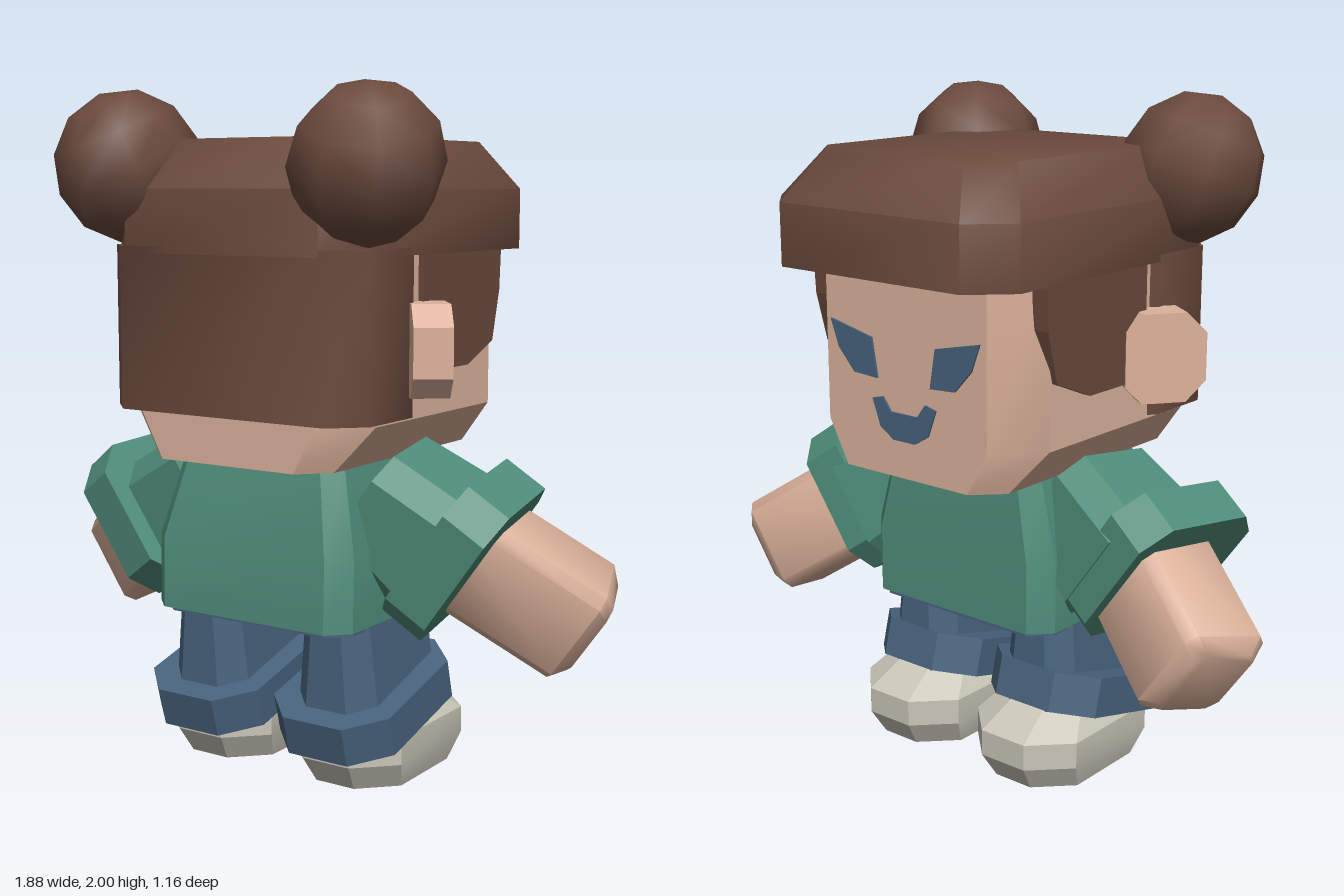
import * as THREE from 'three';
import { toCreasedNormals } from 'three/addons/utils/BufferGeometryUtils.js';

const mat = (name, color) => Object.assign(new THREE.MeshStandardMaterial({ color }), { name });

// Stack of chamfered rectangles: each ring is [y, halfX, zMax, zMin, chamfer]
function loft(rings, crease = 0.4) {
  const loops = rings.map(([y, h, b, f, c]) => [
    [h, b - c], [h, f + c], [h - c, f], [c - h, f], [-h, f + c], [-h, b - c], [c - h, b], [h - c, b],
  ].map(([x, z]) => [x, y, z]));
  const out = [];
  const tri = (...p) => p.forEach((q) => out.push(...q));
  for (let r = 0; r + 1 < loops.length; r++) {
    for (let i = 0; i < 8; i++) {
      const j = (i + 1) % 8, lo = loops[r], up = loops[r + 1];
      tri(lo[i], lo[j], up[j]);
      tri(lo[i], up[j], up[i]);
    }
  }
  const bottom = loops[0], top = loops[loops.length - 1];
  for (let i = 1; i < 7; i++) {
    tri(top[0], top[i], top[i + 1]);
    tri(bottom[0], bottom[i + 1], bottom[i]);
  }
  const g = new THREE.BufferGeometry();
  g.setAttribute('position', new THREE.Float32BufferAttribute(out, 3));
  return toCreasedNormals(g, crease);
}

function plate(points, depth) {
  const shape = new THREE.Shape(points.map(([x, y]) => new THREE.Vector2(x, y)));
  return new THREE.ExtrudeGeometry(shape, { depth, bevelEnabled: false });
}

// Mirror across x = 0, keeping faces outward
function mirrored(source) {
  const g = source.index ? source.toNonIndexed() : source.clone();
  for (const key of ['position', 'normal']) {
    const a = g.attributes[key];
    for (let i = 0; i < a.count; i += 3) {
      const p = [0, 2, 1].map((k) => [-a.getX(i + k), a.getY(i + k), a.getZ(i + k)]);
      p.forEach((v, k) => a.setXYZ(i + k, ...v));
    }
  }
  return g;
}

// Place a loft so that its y axis runs along dir, starting at origin
function along(g, origin, dir) {
  const d = new THREE.Vector3(...dir).normalize();
  const u = new THREE.Vector3(-d.y, d.x, 0).normalize();
  const m = new THREE.Matrix4().makeBasis(u, d, u.clone().cross(d));
  return g.applyMatrix4(m.setPosition(...origin));
}

export function createModel() {
  const model = new THREE.Group();
  const hair = mat('brown hair', 0x6b4a3d);
  const skin = mat('skin', 0xdcb29b);
  const green = mat('green shirt', 0x4f8c79);
  const denim = mat('blue denim', 0x48637d);
  const shoe = mat('pale grey shoe', 0xc9c5b8);

  const add = (name, geometry, material) => {
    const mesh = new THREE.Mesh(geometry, material);
    mesh.name = name;
    model.add(mesh);
  };
  const pair = (name, geometry, material) => {
    add('left ' + name, geometry, material);
    add('right ' + name, mirrored(geometry), material);
  };

  // Head and face, looking toward -z
  add('head', loft([
    [0.95, 0.31, 0.44, -0.44, 0.08],
    [1.08, 0.42, 0.44, -0.44, 0.12],
    [1.6, 0.42, 0.44, -0.44, 0.12],
  ], 0.6), skin);
  const eye = plate([[0.28, 1.38], [0.25, 1.3], [0.19, 1.235], [0.1, 1.23], [0.12, 1.345]], 0.008);
  pair('eye', eye.translate(0, 0, -0.446), denim);
  const mouth = plate([
    [-0.12, 1.17], [-0.09, 1.09], [-0.04, 1.06], [0.04, 1.06], [0.09, 1.09],
    [0.12, 1.17], [0.08, 1.18], [0.05, 1.14], [-0.05, 1.14], [-0.08, 1.18],
  ], 0.008);
  add('mouth', mouth.translate(0, 0, -0.446), denim);

  // Ears: bevelled slabs flaring outward
  const ear = plate([
    [0, -0.08], [0.05, -0.13], [0.18, -0.13], [0.24, -0.07],
    [0.24, 0.07], [0.18, 0.13], [0.05, 0.13], [0, 0.08],
  ], 0.11);
  pair('ear', ear.rotateY(-0.918).translate(0.44, 1.28, 0), skin);

  // Hair: cap with fringe, back and side locks
  add('hair cap', loft([
    [1.54, 0.44, 0.47, -0.58, 0.11],
    [1.72, 0.44, 0.47, -0.58, 0.11],
    [1.86, 0.35, 0.36, -0.47, 0.1],
  ], 0.9), hair);
  add('back hair', loft([
    [1.09, 0.44, 0.47, 0.07, 0.09],
    [1.56, 0.44, 0.47, 0.07, 0.09],
  ], 0.9), hair);
  const lock = plate([
    [-0.1, 1.21], [0.16, 1.21], [0.31, 1.27], [0.35, 1.42], [0.36, 1.6], [-0.1, 1.6],
  ], 0.05);
  pair('side lock', lock.rotateY(Math.PI / 2).translate(0.387, 0, 0), hair);
  const bun = new THREE.SphereGeometry(0.222, 8, 6);
  bun.scale(0.95, 1, 1.02).rotateX(0.3).rotateZ(-0.25).translate(0.41, 1.785, 0.355);
  pair('hair bun', bun, hair);

  // Shirt
  add('shirt', loft([
    [0.49, 0.345, 0.375, -0.25, 0.06],
    [0.7, 0.345, 0.37, -0.25, 0.06],
    [0.955, 0.28, 0.31, -0.23, 0.05],
  ]), green);
  const neck = new THREE.Shape([[-0.11, 0.955], [0, 0.82], [0.11, 0.955]].map((p) => new THREE.Vector2(...p)));
  const neckline = new THREE.ExtrudeGeometry(neck, { depth: 0.008, bevelEnabled: false });
  neckline.translate(0, -0.955, 0).rotateX(-0.078).translate(0, 0.955, -0.236);
  add('neckline', neckline, skin);
  add('waistband', loft([
    [0.475, 0.33, 0.35, -0.235, 0.06],
    [0.5, 0.33, 0.35, -0.235, 0.06],
  ]), denim);

  // Sleeves with wide cuffs, and bare arms reaching down and forward
  const sleeveDir = [0.8, -0.57, -0.17];
  pair('sleeve', along(loft([
    [0, 0.17, 0.19, -0.19, 0.07],
    [0.28, 0.2, 0.21, -0.21, 0.07],
  ]), [0.27, 0.85, 0.05], sleeveDir), green);
  pair('sleeve cuff', along(loft([
    [0, 0.235, 0.235, -0.235, 0.08],
    [0.14, 0.235, 0.235, -0.235, 0.08],
  ]), [0.48, 0.745, 0.04], sleeveDir), green);
  pair('arm', along(loft([
    [0, 0.155, 0.14, -0.14, 0.03],
    [0.46, 0.155, 0.14, -0.14, 0.03],
    [0.5, 0.12, 0.105, -0.105, 0.03],
  ], 0.9), [0.47, 0.74, 0.02], [0.76, -0.53, -0.38]), skin);

  // Legs, tilted trouser cuffs and shoes
  const x = 0.23;
  pair('leg', loft([
    [0.15, 0.145, 0.28, -0.18, 0.07],
    [0.49, 0.11, 0.28, -0.16, 0.06],
  ]).translate(x, 0, 0), denim);
  const cuff = loft([
    [-0.06, 0.2, 0.27, -0.27, 0.1],
    [0.06, 0.2, 0.27, -0.27, 0.1],
  ]);
  pair('trouser cuff', cuff.rotateX(0.26).translate(x, 0.23, 0.075), denim);
  pair('shoe', loft([
    [0, 0.165, 0.23, -0.24, 0.1],
    [0.08, 0.19, 0.28, -0.29, 0.11],
    [0.16, 0.19, 0.28, -0.29, 0.11],
    [0.23, 0.14, 0.22, -0.17, 0.08],
  ]).translate(x, 0, 0), shoe);

  return model;
}
